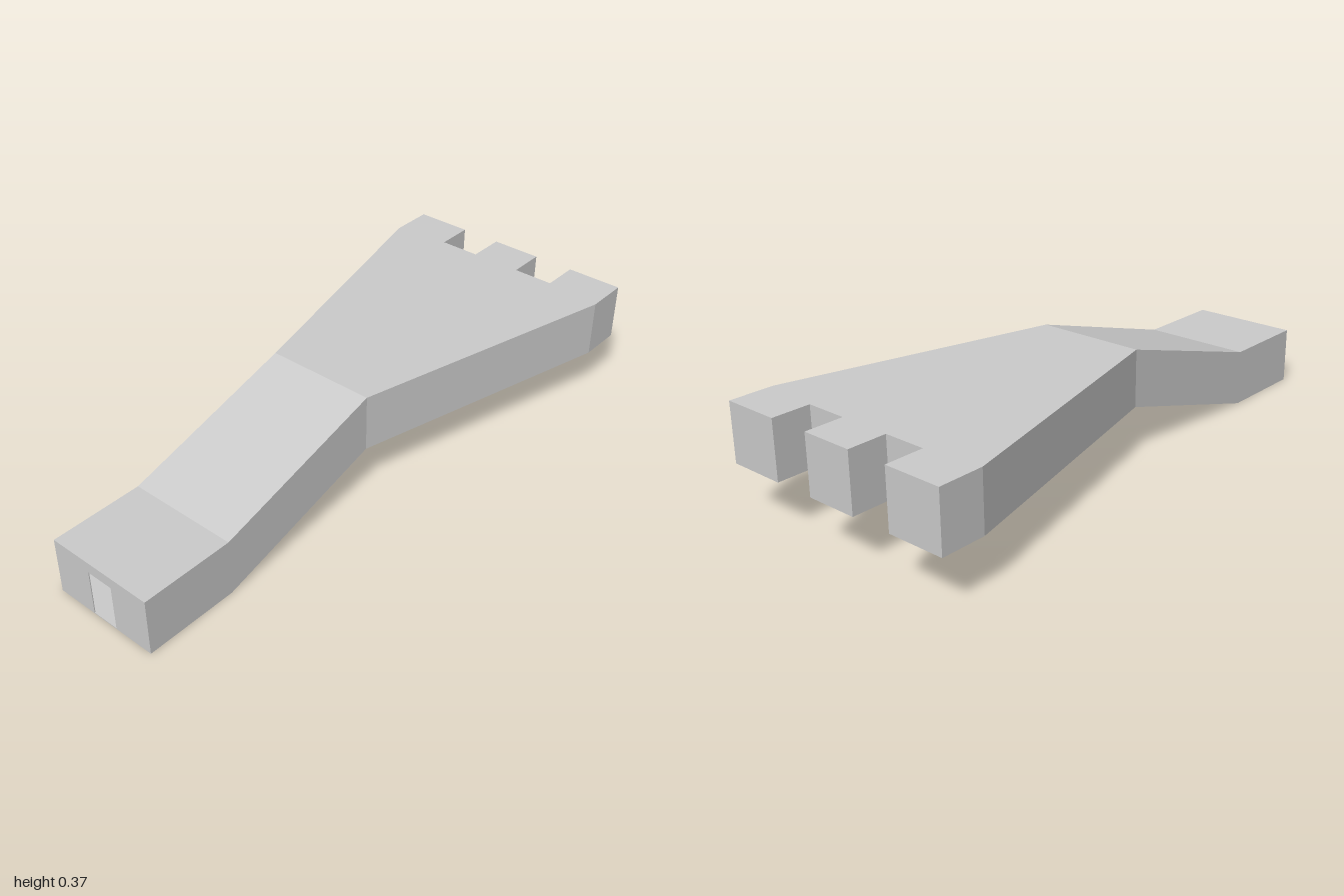
import * as THREE from 'three';
import { mergeGeometries } from 'three/addons/utils/BufferGeometryUtils.js';

const T = 0.003;          // wall thickness
const HEIGHT = 0.195;     // passage height
const RAMP_START = 0.685, RAMP_END = 0.08, RISE = 0.175;

const floorAt = z => RISE * THREE.MathUtils.clamp((RAMP_START - z) / (RAMP_START - RAMP_END), 0, 1);

// Right half of the plan as [x, -z], from the entrance round to the middle of the back
const half = [
  [0.19, -1 + T], [0.19, -RAMP_START], [0.19, -RAMP_END], [0.425, 0.85], [0.425, 1],
  [0.23, 1], [0.23, 0.87], [0.088, 0.87], [0.088, 1],
];
const outline = [...half, ...half.map(([x, d]) => [-x, d]).reverse()];

// Moves every edge of a counter-clockwise outline inwards, keeping the entrance line
function inset(points, t) {
  const n = points.length;
  const normal = (a, b) => {
    const dx = b[0] - a[0], dy = b[1] - a[1], l = Math.hypot(dx, dy);
    return [-dy / l, dx / l];
  };
  return points.map((p, i) => {
    const a = normal(points[(i + n - 1) % n], p), b = normal(p, points[(i + 1) % n]);
    const k = t / (1 + a[0] * b[0] + a[1] * b[1]);
    const entrance = i === 0 || i === n - 1;
    return [p[0] + k * (a[0] + b[0]), entrance ? p[1] : p[1] + k * (a[1] + b[1])];
  });
}

// Horizontal or sloping sheet over part of the plan
function plate(points, lift, faceUp) {
  const g = new THREE.ShapeGeometry(new THREE.Shape(points.map(p => new THREE.Vector2(...p))));
  g.rotateX(-Math.PI / 2);
  const pos = g.attributes.position;
  for (let i = 0; i < pos.count; i++) pos.setY(i, floorAt(pos.getZ(i)) + lift);
  if (!faceUp) g.index.array.reverse();
  return bare(g.toNonIndexed());
}

// Upright wall between two plan points
function wall(a, b, low, high, outward) {
  const corner = ([x, d], lift) => [x, floorAt(-d) + lift, -d];
  const q = [corner(a, low), corner(b, low), corner(b, high), corner(a, high)];
  const order = outward ? [0, 1, 2, 0, 2, 3] : [0, 2, 1, 0, 3, 2];
  const g = new THREE.BufferGeometry();
  g.setAttribute('position', new THREE.Float32BufferAttribute(order.flatMap(i => q[i]), 3));
  return bare(g);
}

function bare(g) {
  g.deleteAttribute('uv');
  g.computeVertexNormals();
  return g;
}

// Full skin: roof, floor and side walls, open at the entrance
function shell(points, low, high, outward) {
  const n = points.length, parts = [];
  const zones = [
    [0, 1, n - 2, n - 1].map(i => points[i]),
    [1, 2, n - 3, n - 2].map(i => points[i]),
    points.slice(2, n - 2),
  ];
  for (const zone of zones) {
    parts.push(plate(zone, high, outward), plate(zone, low, !outward));
  }
  for (let i = 0; i < n - 1; i++) parts.push(wall(points[i], points[i + 1], low, high, outward));
  return mergeGeometries(parts);
}

function rect(Kind, x, y0, y1) {
  return new Kind([[-x, y0], [x, y0], [x, y1], [-x, y1]].map(p => new THREE.Vector2(...p)));
}

export function createModel() {
  const group = new THREE.Group();
  const material = new THREE.MeshStandardMaterial({ color: 0xcccccc, flatShading: true });
  const add = (name, geometry) => {
    const mesh = new THREE.Mesh(geometry, material);
    mesh.name = name;
    group.add(mesh);
    return mesh;
  };

  add('outerShell', shell(outline, 0, HEIGHT, true));
  add('innerShell', shell(inset(outline, T), T, HEIGHT - T, false));

  // Entrance wall with its doorway
  const front = rect(THREE.Shape, 0.19, 0, HEIGHT);
  front.holes.push(rect(THREE.Path, 0.047, T, 0.158));
  add('entranceWall', new THREE.ExtrudeGeometry(front, { depth: T, bevelEnabled: false }))
    .position.z = 1 - T;

  return group;
}
